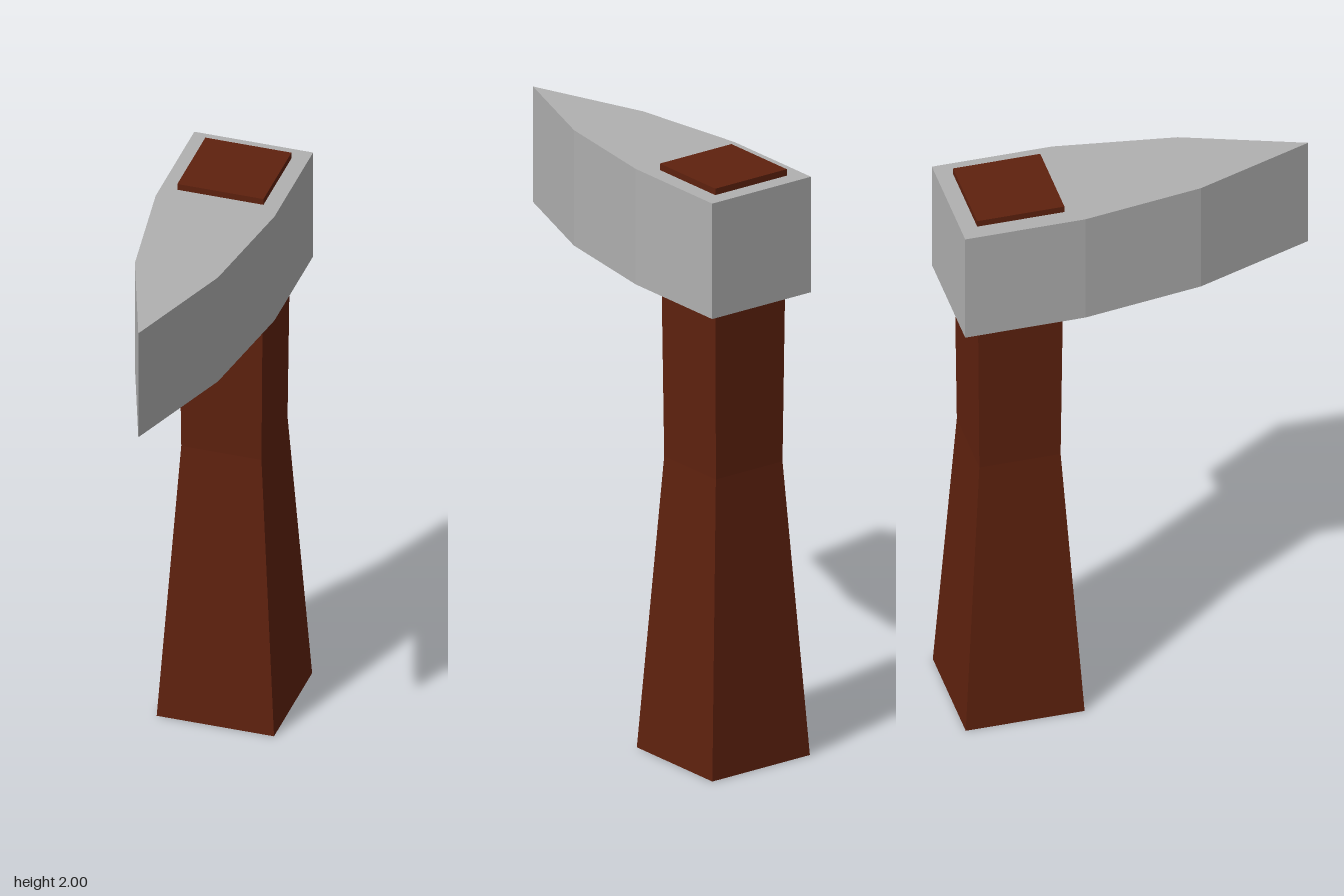
import * as THREE from 'three';

export function createModel() {
  const wood = new THREE.MeshStandardMaterial({ color: 0x5e210e });
  wood.name = 'brown wood';
  const steel = new THREE.MeshStandardMaterial({ color: 0xb0b0b0 });
  steel.name = 'grey steel';
  const group = new THREE.Group();
  group.name = 'hammer';

  // Handle: square post, wide at the foot, narrowest halfway up
  const widths = [0.395, 0.27, 0.29];
  let handleGeo = new THREE.BoxGeometry(1, 2, 1, 1, 2, 1);
  handleGeo.translate(0, 1, 0);
  const pos = handleGeo.attributes.position;
  for (let i = 0; i < pos.count; i++) {
    const w = widths[Math.round(pos.getY(i))];
    pos.setX(i, pos.getX(i) * w);
    pos.setZ(i, pos.getZ(i) * w);
  }
  handleGeo = handleGeo.toNonIndexed();
  handleGeo.computeVertexNormals();
  const handle = new THREE.Mesh(handleGeo, wood);
  handle.name = 'handle';
  handle.position.z = -0.4;
  group.add(handle);

  // Head: block at the back tapering to a vertical edge at the front
  const outline = [[-0.2, 0.6], [-0.2, 0.2], [-0.14, -0.2], [0, -0.595], [0.14, -0.2], [0.2, 0.2], [0.2, 0.6]];
  const shape = new THREE.Shape(outline.map(([x, y]) => new THREE.Vector2(x, y)));
  const headGeo = new THREE.ExtrudeGeometry(shape, { depth: 0.395, bevelEnabled: false });
  headGeo.rotateX(-Math.PI / 2);
  const head = new THREE.Mesh(headGeo, steel);
  head.name = 'head';
  head.position.y = 1.583;
  group.add(head);

  return group;
}
